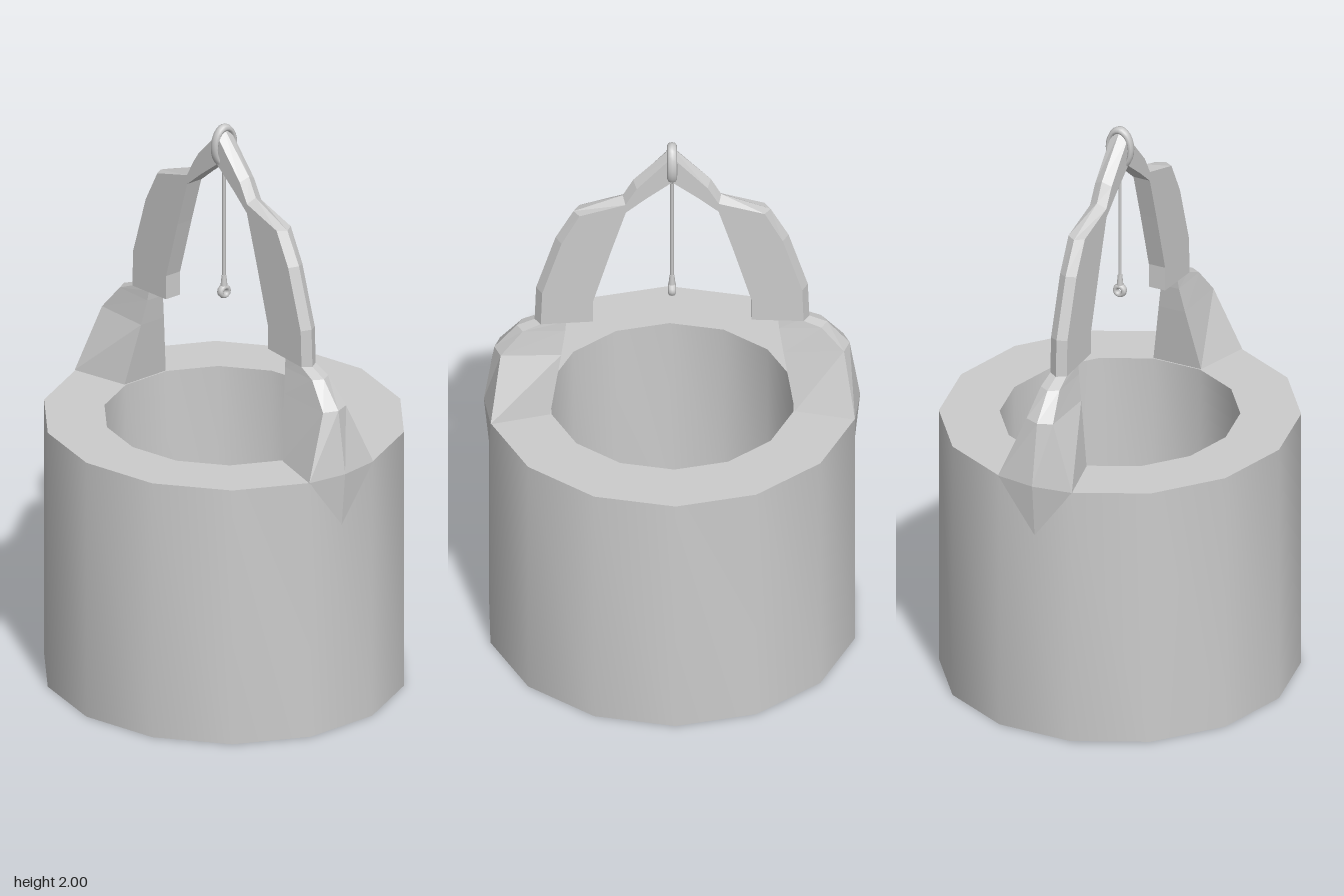
import * as THREE from 'three';
import { toCreasedNormals } from 'three/addons/utils/BufferGeometryUtils.js';
import { ConvexGeometry } from 'three/addons/geometries/ConvexGeometry.js';

const smooth = new THREE.MeshStandardMaterial({ color: 0xcccccc, side: THREE.DoubleSide });
const flat = new THREE.MeshStandardMaterial({ color: 0xcccccc, flatShading: true });

function add(parent, name, geometry, material) {
  const mesh = new THREE.Mesh(geometry, material);
  mesh.name = name;
  parent.add(mesh);
  return mesh;
}

// Lofts a five-sided section (outer ridge, two shoulders, flat inner face) along stations:
// [outer z, outer y, inner z, inner y, shoulder half width, inner half width]
function loft(stations, bevel = 0.02) {
  const rings = stations.map(([oz, oy, iz, iy, w, v]) => {
    const outer = new THREE.Vector3(0, oy, oz);
    const inner = new THREE.Vector3(0, iy, iz);
    const shoulder = inner.clone().sub(outer).setLength(bevel).add(outer);
    const at = (p, x) => [x, p.y, p.z];
    return [at(outer, 0), at(shoulder, w), at(inner, v), at(inner, -v), at(shoulder, -w)];
  });
  const pos = [];
  const tri = (a, b, c) => pos.push(...a, ...b, ...c);
  for (let s = 0; s < rings.length - 1; s++) {
    for (let i = 0; i < 5; i++) {
      const j = (i + 1) % 5;
      const a = rings[s], b = rings[s + 1];
      tri(a[i], a[j], b[j]);
      tri(a[i], b[j], b[i]);
    }
  }
  const first = rings[0], last = rings[rings.length - 1];
  for (let i = 1; i < 4; i++) {
    tri(first[0], first[i + 1], first[i]);
    tri(last[0], last[i], last[i + 1]);
  }
  const g = new THREE.BufferGeometry();
  g.setAttribute('position', new THREE.Float32BufferAttribute(pos, 3));
  g.computeVertexNormals();
  return g;
}

export function createModel() {
  const model = new THREE.Group();
  model.name = 'well';

  // Fourteen-sided wall, open underneath, with rim, shaft and raised floor
  const profile = [[0.602, 0], [0.602, 0.93], [0.4, 0.93], [0.4, 0.21], [0, 0.21]]
    .map(([r, y]) => new THREE.Vector2(r, y));
  const wall = new THREE.LatheGeometry(profile, 14, Math.PI / 2);
  wall.scale(1, 1, 1.04);
  add(model, 'wallAndShaft', toCreasedNormals(wall, 0.7), smooth);

  // Arch half: flared foot, bracket on the wall face, stepped upper arm
  const foot = loft([
    [0.63, 0.93, 0.41, 0.93, 0.14, 0.09],
    [0.595, 1.15, 0.372, 1.15, 0.05, 0.05],
    [0.52, 1.24, 0.358, 1.24, 0.035, 0.034],
    [0.45, 1.27, 0.355, 1.275, 0.03, 0.03],
  ]);
  const bracket = new ConvexGeometry([
    [0, 0.93, 0.63], [0.14, 0.93, 0.61], [-0.14, 0.93, 0.61], [0, 0.74, 0.612], [0, 0.93, 0.6],
  ].map((p) => new THREE.Vector3(...p)));
  const arm = loft([
    [0.46, 1.265, 0.265, 1.275],
    [0.455, 1.4, 0.265, 1.36],
    [0.39, 1.61, 0.205, 1.57],
    [0.33, 1.72, 0.155, 1.735],
    [0.165, 1.785, 0.145, 1.743],
    [0.13, 1.85, 0.09, 1.79],
    [0, 1.985, 0, 1.86],
  ].map((s) => [...s, 0.031, 0.031]));

  for (const [name, turn] of [['frontArch', 0], ['backArch', Math.PI]]) {
    const half = new THREE.Group();
    half.name = name;
    half.rotation.y = turn;
    add(half, 'foot', foot, flat);
    add(half, 'bracket', bracket, flat);
    add(half, 'arm', arm, flat);
    model.add(half);
  }

  // Oval ring around the top of the arch
  const ring = add(model, 'ring', new THREE.TorusGeometry(0.07, 0.014, 8, 24), smooth);
  ring.scale.set(0.6, 0.94, 1.2);
  ring.position.y = 1.92;

  // Hanging rod ending in a small eye
  const rod = add(model, 'rod', new THREE.CylinderGeometry(0.006, 0.006, 0.46, 8), smooth);
  rod.position.y = 1.63;
  const collar = add(model, 'rodCollar', new THREE.CylinderGeometry(0.008, 0.012, 0.04, 8), smooth);
  collar.position.y = 1.425;
  const eye = add(model, 'rodEye', new THREE.TorusGeometry(0.016, 0.009, 8, 12), smooth);
  eye.scale.z = 1.5;
  eye.position.y = 1.387;

  return model;
}
